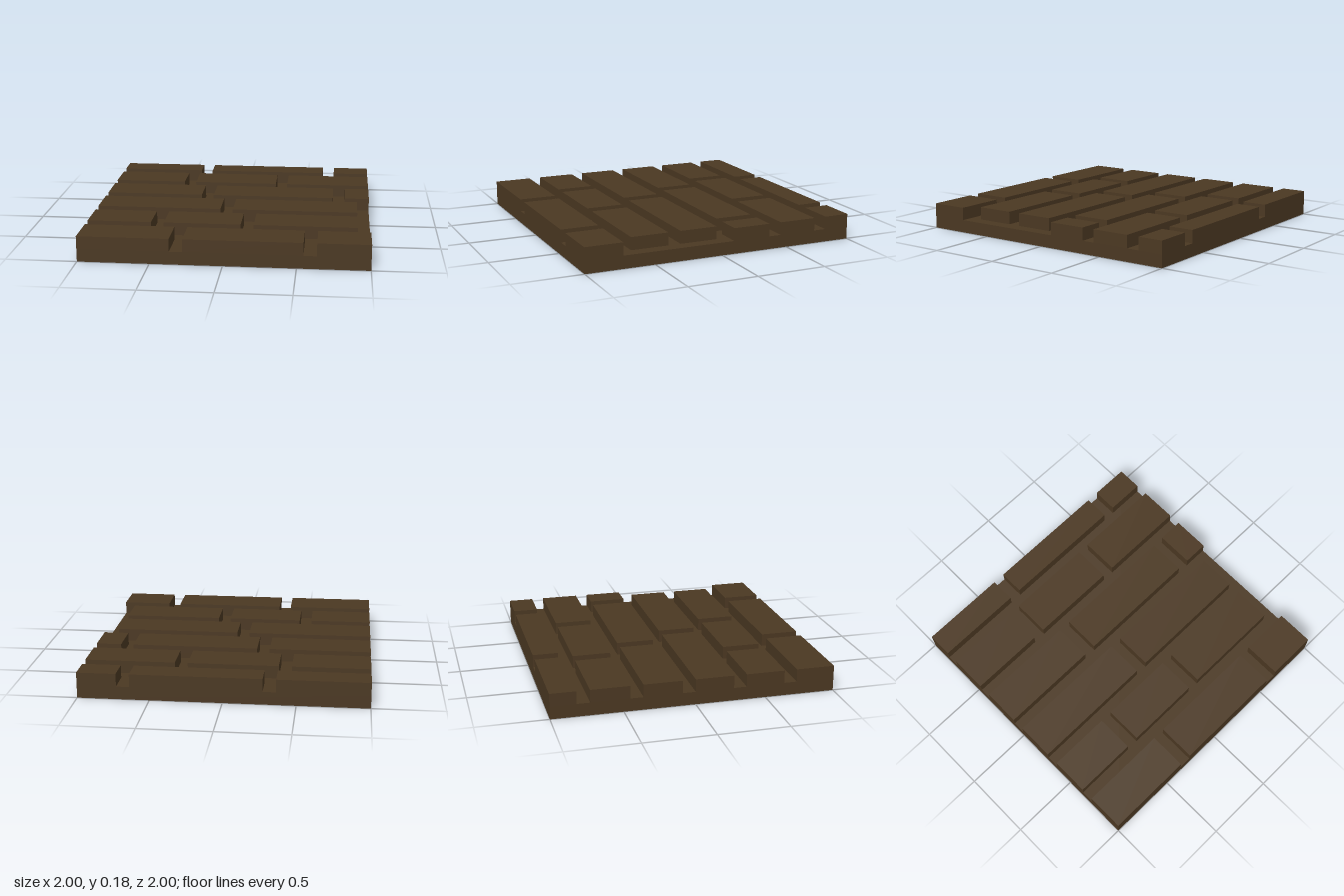
import * as THREE from 'three';

// Everything sits on a grid of 22 x 22 cells
const U = 1 / 11;

// Each course: z range and the x ranges of its bricks, in cells
const COURSES = [
  { z: [-11, -9], bricks: [[-11, -4], [-3, 7], [8, 11]] },
  { z: [-8, -5], bricks: [[-11, -5], [-4, 3], [4, 11]] },
  { z: [-4, -1], bricks: [[-11, -3], [-2, 8], [9, 11]] },
  { z: [0, 3], bricks: [[-11, -1], [0, 10]] },
  { z: [4, 7], bricks: [[-11, -6], [-5, 1], [2, 10]] },
  { z: [8, 11], bricks: [[-11, -4], [-3, 6], [7, 11]] },
];

export function createModel() {
  const brown = new THREE.MeshStandardMaterial({ name: 'dark brown', color: 0x4b3822 });
  const model = new THREE.Group();
  model.name = 'brickTile';

  // Box between two corners given in cells
  function block(name, [x0, x1], [y0, y1], [z0, z1], parent) {
    const geometry = new THREE.BoxGeometry((x1 - x0) * U, (y1 - y0) * U, (z1 - z0) * U);
    const mesh = new THREE.Mesh(geometry, brown);
    mesh.position.set((x0 + x1) / 2 * U, (y0 + y1) / 2 * U, (z0 + z1) / 2 * U);
    mesh.name = name;
    parent.add(mesh);
  }

  // Slab forming the floor of the joints
  block('baseSlab', [-11, 11], [0, 1], [-11, 11], model);

  // Raised bricks in staggered courses
  COURSES.forEach(({ z, bricks }, i) => {
    const course = new THREE.Group();
    course.name = `brickCourse${i + 1}`;
    bricks.forEach((x, j) => block(`brick${j + 1}`, x, [1, 2], z, course));
    model.add(course);
  });

  return model;
}
